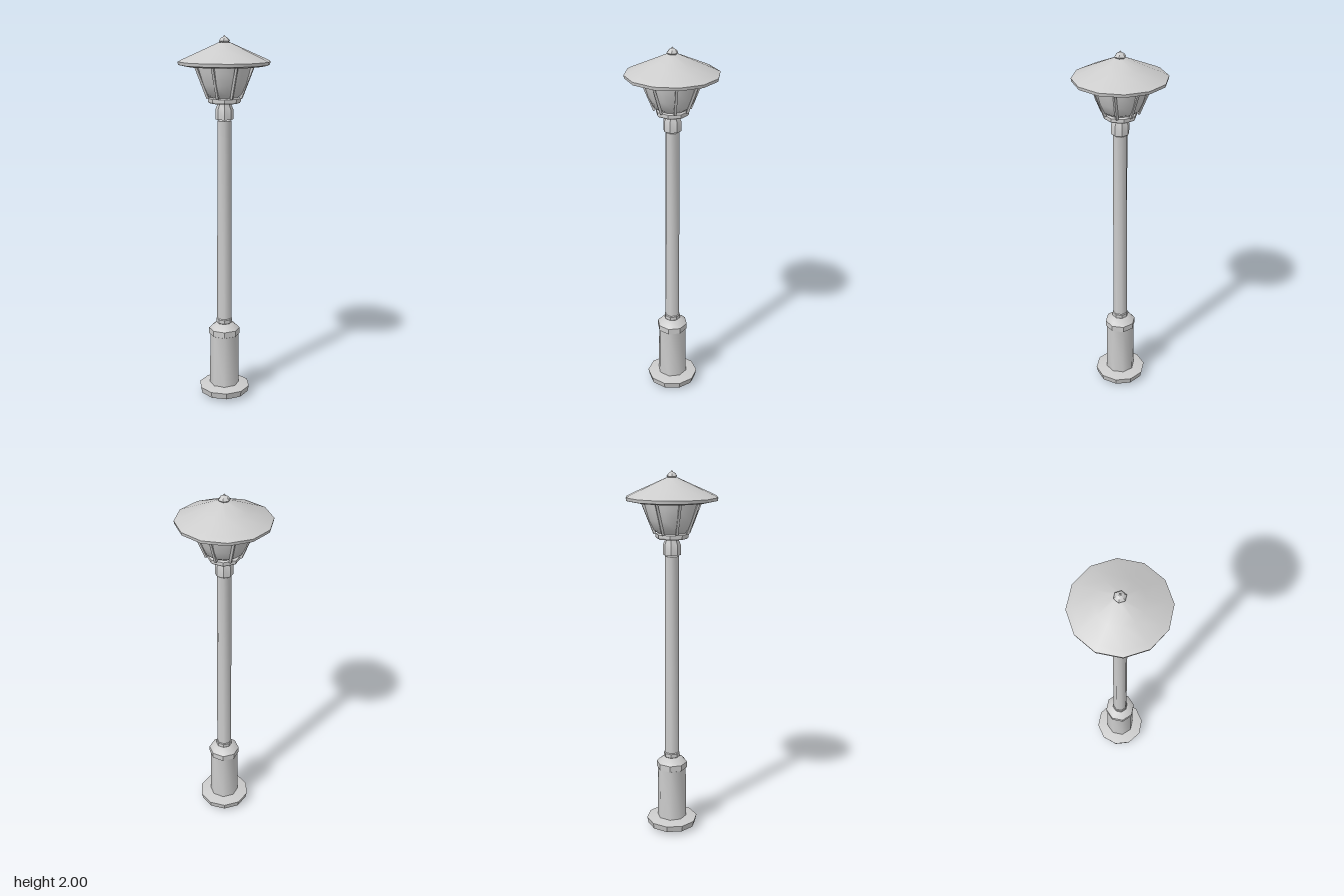
import * as THREE from 'three';
import { toCreasedNormals } from 'three/addons/utils/BufferGeometryUtils.js';

const metal = new THREE.MeshStandardMaterial({ color: 0xcccccc, side: THREE.DoubleSide });
metal.name = 'light grey metal';

export function createModel() {
  const model = new THREE.Group();
  model.name = 'streetLamp';

  const add = (name, geometry, crease) => {
    const mesh = new THREE.Mesh(toCreasedNormals(geometry, crease), metal);
    mesh.name = name;
    model.add(mesh);
  };
  // Turned part from [radius, height] pairs, listed bottom to top
  const turned = (name, sides, points, crease = 0.6) => {
    const geometry = new THREE.LatheGeometry(points.map(([r, y]) => new THREE.Vector2(r, y)), sides);
    geometry.rotateY(Math.PI / sides);
    add(name, geometry, crease);
  };

  // Foot and pedestal
  turned('foot', 10, [[0, 0.005], [0.1, 0.01], [0.134, 0.025], [0.142, 0.06], [0.08, 0.072], [0, 0.072]]);
  turned('pedestal', 8, [[0.082, 0.065], [0.078, 0.37]], 0.9);
  turned('pedestalCollar', 8, [[0.07, 0.36], [0.085, 0.367], [0.085, 0.4], [0.07, 0.415], [0.042, 0.432], [0, 0.432]]);
  turned('neck', 8, [[0.034, 0.425], [0.044, 0.435], [0.044, 0.455], [0.034, 0.468], [0, 0.468]]);

  // Post
  turned('shaft', 8, [[0.04, 0.46], [0.037, 1.56], [0, 1.56]], 0.9);
  turned('socket', 8, [[0, 1.565], [0.047, 1.567], [0.047, 1.62], [0.037, 1.642], [0.037, 1.66]]);
  turned('lanternPlate', 8, [[0, 1.65], [0.08, 1.652], [0.086, 1.66], [0.086, 1.676], [0.065, 1.685], [0, 1.685]]);

  // Glass bowl
  turned('lanternBowl', 12, [[0.07, 1.68], [0.1, 1.7], [0.124, 1.75], [0.142, 1.81], [0.15, 1.86]], 0.9);

  // Ribs standing around the bowl
  const ribCount = 8;
  for (let i = 0; i < ribCount; i++) {
    const a = (i / ribCount) * Math.PI * 2;
    const at = (r, y) => new THREE.Vector3(Math.cos(a) * r, y, Math.sin(a) * r);
    add('lanternRib', new THREE.TubeGeometry(new THREE.LineCurve3(at(0.092, 1.68), at(0.165, 1.86)), 1, 0.009, 4), 0.3);
  }

  // Roof with a thin brim
  turned('roof', 12, [[0.14, 1.86], [0.205, 1.842], [0.24, 1.85], [0.243, 1.866], [0.215, 1.88],
    [0.12, 1.922], [0.03, 1.962], [0, 1.965]], 0.7);

  // Pointed finial
  turned('finial', 6, [[0.018, 1.958], [0.031, 1.97], [0.02, 1.984], [0.008, 1.99], [0, 2]]);

  return model;
}
